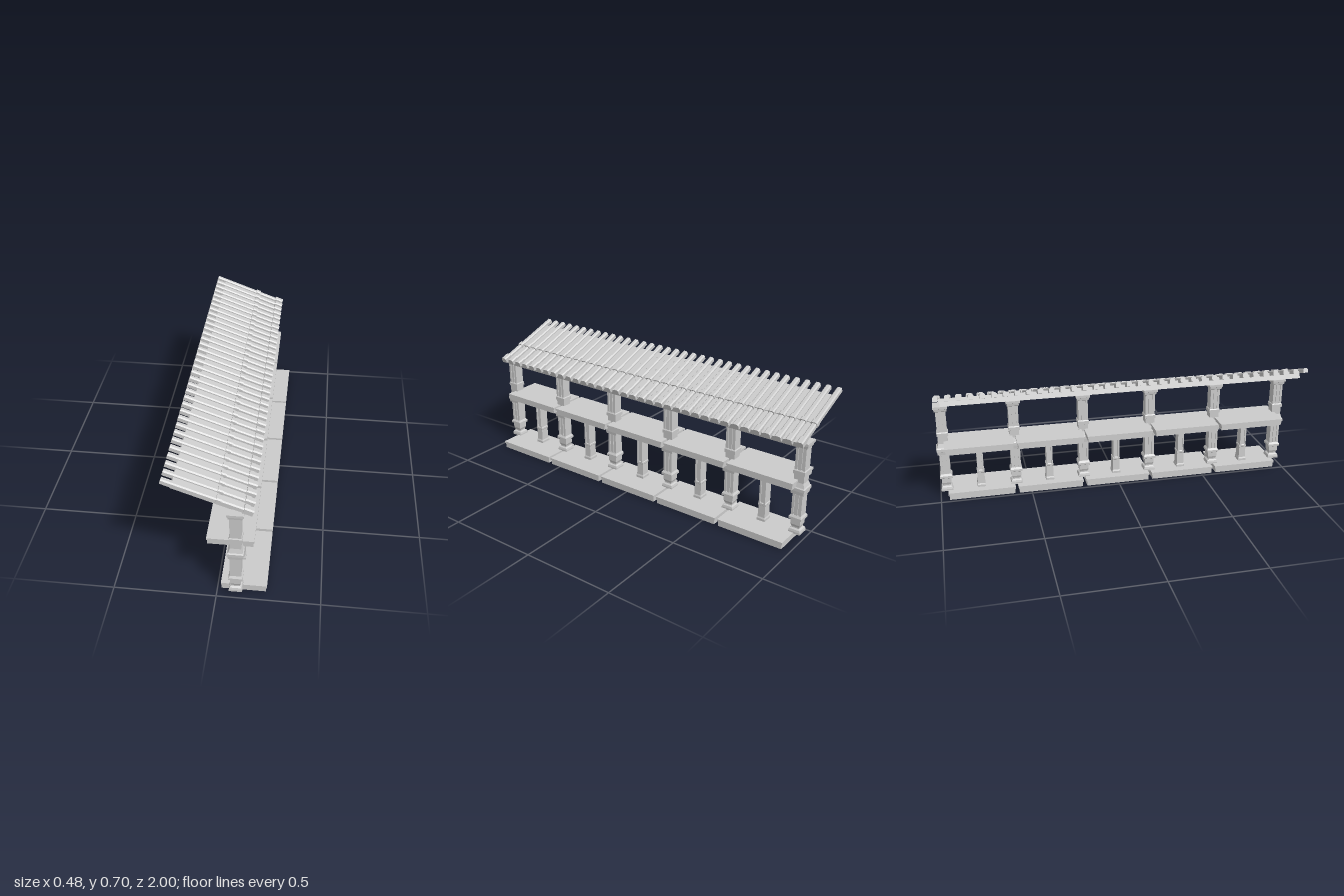
import * as THREE from 'three';

const mat = new THREE.MeshStandardMaterial({ color: 0xcccccc, flatShading: true });
const COL_X = 0.0925, PITCH = 0.385;

function add(parent, geometry, name, x = 0, y = 0, z = 0) {
  const mesh = new THREE.Mesh(geometry, mat);
  mesh.name = name;
  mesh.position.set(x, y, z);
  parent.add(mesh);
  return mesh;
}

// Box given by its limits on each axis
function box(parent, name, x0, x1, y0, y1, z0, z1) {
  return add(parent, new THREE.BoxGeometry(x1 - x0, y1 - y0, z1 - z0), name,
    (x0 + x1) / 2, (y0 + y1) / 2, (z0 + z1) / 2);
}

// Square moulding turned from [halfWidth, y] pairs, closed at both ends
function squareTurned(pairs) {
  const pts = pairs.map(([w, y]) => new THREE.Vector2(w * Math.SQRT2, y));
  pts.unshift(new THREE.Vector2(0, pairs[0][1]));
  pts.push(new THREE.Vector2(0, pairs[pairs.length - 1][1]));
  return new THREE.LatheGeometry(pts, 4).rotateY(Math.PI / 4);
}

// Upright shaft with grooves cut into its two x faces
function groovedShaft(hx, hz, grooves, grooveW, depth, y0, y1) {
  const side = [[hx, -hz]];
  for (const g of grooves) {
    side.push([hx, g - grooveW / 2], [hx - depth, g - grooveW / 2],
      [hx - depth, g + grooveW / 2], [hx, g + grooveW / 2]);
  }
  side.push([hx, hz]);
  const outline = [...side, ...side.map(([x, z]) => [-x, -z])];
  const shape = new THREE.Shape(outline.map(p => new THREE.Vector2(...p)));
  return new THREE.ExtrudeGeometry(shape, { depth: y1 - y0, bevelEnabled: false })
    .rotateX(-Math.PI / 2).translate(0, y0, 0);
}

// Ridge tile section with chamfered top, running along x
function ridge(s0, s1, w, h) {
  const a = w / 2, c = 0.006;
  const shape = new THREE.Shape([[-a, 0], [a, 0], [a, h - c], [a - c, h], [c - a, h], [-a, h - c]]
    .map(p => new THREE.Vector2(...p)));
  return new THREE.ExtrudeGeometry(shape, { depth: s1 - s0, bevelEnabled: false })
    .rotateY(Math.PI / 2).translate(s0, 0, 0);
}

export function createModel() {
  const model = new THREE.Group();
  model.name = 'colonnade';

  // Main columns: moulded base, grooved shafts, capitals
  const parts = {
    columnBase: squareTurned([[0.032, 0.036], [0.032, 0.047], [0.029, 0.058], [0.021, 0.064],
      [0.021, 0.071], [0.026, 0.084], [0.026, 0.11], [0.034, 0.115], [0.034, 0.127], [0.027, 0.138]]),
    lowerShaft: groovedShaft(0.0268, 0.0268, [-0.011, 0.011], 0.006, 0.005, 0.135, 0.258),
    middleCapital: squareTurned([[0.027, 0.255], [0.034, 0.257], [0.036, 0.275], [0.039, 0.277],
      [0.039, 0.292], [0.034, 0.297], [0.032, 0.303], [0.0265, 0.32], [0.0265, 0.362],
      [0.031, 0.364], [0.031, 0.382], [0.0275, 0.387]]),
    upperShaft: groovedShaft(0.027, 0.027, [-0.011, 0.011], 0.006, 0.005, 0.385, 0.508),
    topCapital: squareTurned([[0.027, 0.505], [0.033, 0.509], [0.035, 0.522], [0.039, 0.524],
      [0.039, 0.537]]),
  };
  for (let i = 0; i < 6; i++) {
    const column = new THREE.Group();
    column.name = 'column';
    column.position.set(COL_X, 0, (i - 2.5) * PITCH);
    for (const [name, geometry] of Object.entries(parts)) add(column, geometry, name);
    model.add(column);
  }

  // Floor slabs, shelf slabs and short pillars in each bay
  const pillarBase = squareTurned([[0.023, 0.038], [0.023, 0.052], [0.02, 0.06], [0.019, 0.125],
    [0.021, 0.128], [0.021, 0.138], [0.017, 0.142]]);
  pillarBase.scale(1.25, 1, 1);
  const pillarShaft = groovedShaft(0.0275, 0.0175, [0], 0.018, 0.006, 0.138, 0.272);
  for (let i = 0; i < 5; i++) {
    const bay = new THREE.Group();
    bay.name = 'bay';
    bay.position.z = (i - 2) * PITCH - 0.004;
    box(bay, 'floorSlab', 0.02, 0.235, 0, 0.029, -0.18, 0.18);
    box(bay, 'floorTop', 0.017, 0.24, 0.028, 0.04, -0.185, 0.185);
    box(bay, 'shelfSlab', -0.044, 0.171, 0.297, 0.323, -0.18, 0.18);
    box(bay, 'shelfTop', -0.048, 0.175, 0.322, 0.334, -0.185, 0.185);
    add(bay, pillarBase, 'pillarBase', COL_X);
    add(bay, pillarShaft, 'pillarShaft', COL_X);
    box(bay, 'pillarHead', COL_X - 0.0275, COL_X + 0.0275, 0.272, 0.284, -0.0175, 0.0175);
    model.add(bay);
  }

  // Sloping roof, built flat with x running down the slope
  const roof = new THREE.Group();
  roof.name = 'roof';
  roof.position.set(-0.2405, 0.68, 0);
  roof.rotation.z = -THREE.MathUtils.degToRad(20.3);
  box(roof, 'roofBoard', 0.052, 0.413, -0.027, -0.002, -0.957, 0.96);

  const tile = ridge(0, 0.4, 0.027, 0.0245);
  const collar = ridge(0.257, 0.284, 0.033, 0.03);
  const endCap = ridge(0.388, 0.4345, 0.034, 0.031);
  const count = 35, step = 1.947 / (count - 1);
  for (let i = 0; i < count; i++) {
    const z = -0.975 + i * step;
    add(roof, tile, 'ridgeTile', 0, 0, z);
    add(roof, collar, 'tileCollar', 0, 0, z);
    add(roof, endCap, 'tileEnd', 0, 0, z);
    if (i === count - 1) continue;
    // Valley tiles between the ridges
    box(roof, 'valleyTile', 0.052, 0.27, -0.003, 0.013, z + 0.012, z + step - 0.012);
    box(roof, 'valleyTile', 0.27, 0.418, -0.003, 0.009, z + 0.012, z + step - 0.012);
  }
  model.add(roof);
  return model;
}
